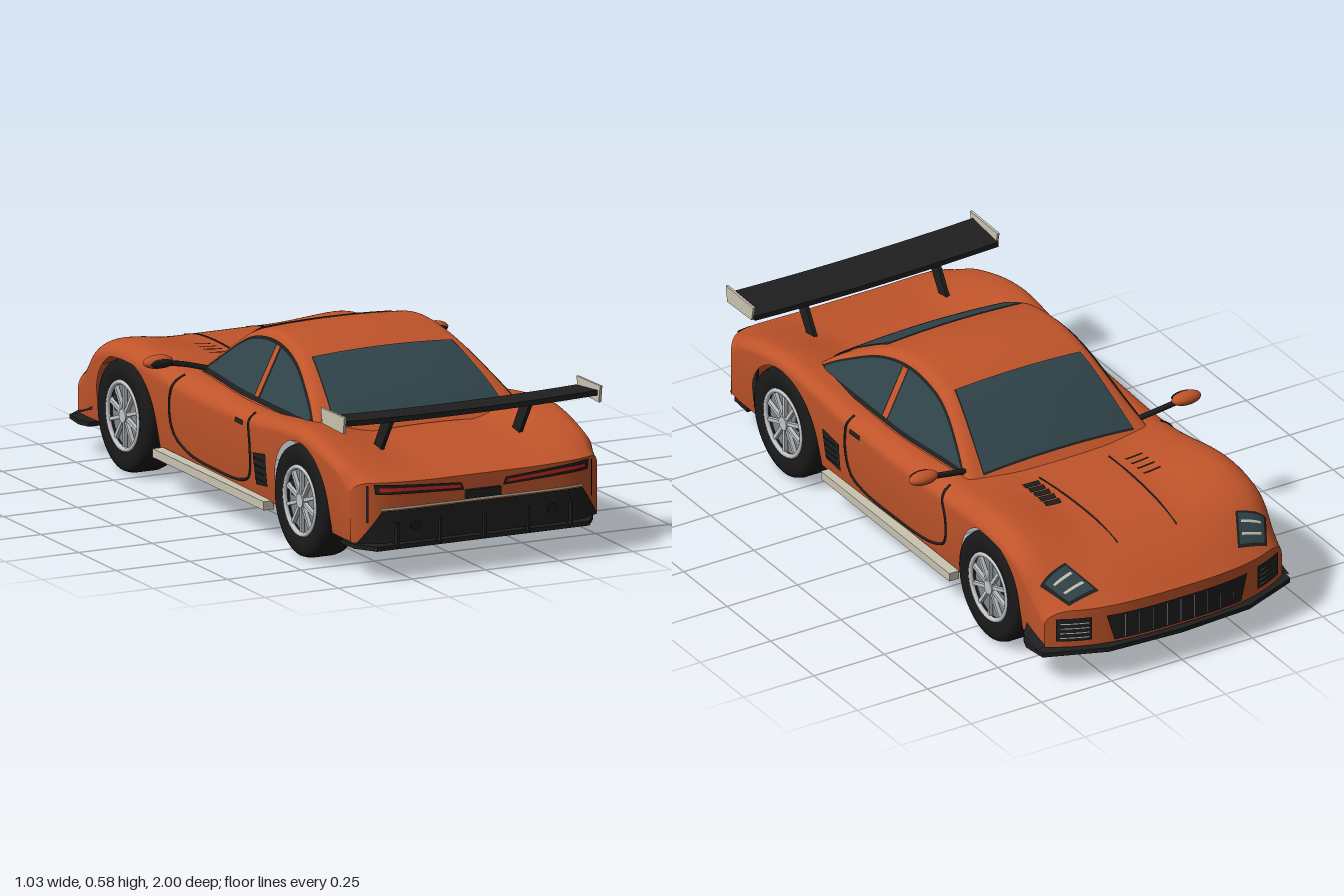
import * as THREE from 'three';

const mat = (name, color) => Object.assign(new THREE.MeshStandardMaterial({ color, side: THREE.DoubleSide }), { name });
const paint = mat('orange paint', 0xc0542a), dark = mat('black trim', 0x1f1f1f), rubber = mat('tyre rubber', 0x191919);
const glass = mat('tinted glass', 0x30444a), cream = mat('cream trim', 0xcac3b0), red = mat('red lamp', 0xcc2a20);
const silver = mat('silver rim', 0xc2c6c9), grey = mat('brake grey', 0x82868a);
const { lerp, smoothstep: smooth } = THREE.MathUtils;

// Smooth one-dimensional curve through [z, value] pairs
const curve = pts => {
  const spline = new THREE.CubicInterpolant(pts.map(p => p[0]), pts.map(p => p[1]), 1, [0]);
  return z => spline.evaluate(z)[0];
};
// Body curves along z (nose at -z, tail at +z)
const NOSE = -.985, TAIL = .978, WHEELS = [-.578, .603];
const width = curve([[-.985, .422], [-.8, .432], [-.6, .432], [-.3, .412], [0, .418], [.3, .425], [.6, .435], [.85, .43], [.985, .418]]);
const fender = curve([[-.985, .24], [-.9, .295], [-.8, .348], [-.7, .385], [-.6, .4], [-.5, .397], [-.4, .384], [-.3, .374],
  [0, .37], [.3, .374], [.45, .39], [.6, .402], [.7, .39], [.8, .365], [.9, .332], [.985, .3]]);
const middle = curve([[-.985, .243], [-.9, .297], [-.8, .342], [-.7, .365], [-.5, .375], [-.3, .366], [.3, .36], [.6, .36], [.8, .34], [.985, .296]]);
const roof = curve([[-.33, .355], [-.27, .402], [-.2, .455], [-.1, .525], [-.05, .551], [0, .567], [.1, .58], [.2, .572], [.3, .545], [.4, .497], [.5, .438], [.59, .365]]);
const corner = z => lerp(.075, .045, smooth(z, -.1, .5)), drop = z => lerp(.05, .034, smooth(z, -.1, .5));
const bow = (x, z) => .1 * smooth(-z, .72, .985) * Math.abs(x / .43) ** 3 - .075 * smooth(z, .84, .985) * Math.abs(x / .43) ** 9;

function lowerEdge(z) {
  const d = Math.min(...WHEELS.map(c => Math.abs(z - c))) / .185;
  return d < 1 ? Math.min(.175 + .185 * Math.sqrt(1 - d * d), fender(z) - drop(z)) : .115;
}
function topY(x, z) {
  const ax = Math.abs(x), c = corner(z), d = drop(z), a = width(z) - c;
  if (ax <= a) return lerp(middle(z), fender(z), smooth(ax / a, .4, 1));
  return fender(z) - d + d * Math.sqrt(Math.max(0, 1 - ((ax - a) / c) ** 2));
}
function sideX(y, z) {
  const c = corner(z), d = drop(z), k = y - fender(z) + d;
  if (k < 0) return width(z) - .025 * (k / .25) ** 2;
  return width(z) - c + c * Math.sqrt(Math.max(0, 1 - (k / d) ** 2));
}
function surfaceY(x, z) {
  let zz = z;
  for (let i = 0; i < 8; i++) zz = z - bow(x, zz);
  return topY(x, zz);
}
// Grid surface from a rule f(u, v) -> [x, y, z]
function grid(nu, nv, f) {
  const p = [], idx = [];
  for (let j = 0; j <= nv; j++) for (let i = 0; i <= nu; i++) {
    p.push(...f(i / nu, j / nv));
    const a = j * (nu + 1) + i, c = a + nu + 1;
    if (i < nu && j < nv) idx.push(a, a + 1, c, a + 1, c + 1, c);
  }
  const g = new THREE.BufferGeometry().setIndex(idx);
  g.setAttribute('position', new THREE.Float32BufferAttribute(p, 3));
  g.computeVertexNormals();
  return g;
}

export function createModel() {
  const car = new THREE.Group();
  car.name = 'sportsCar';
  const add = (name, geo, m, parent = car) => {
    const o = Object.assign(new THREE.Mesh(geo, m), { name });
    parent.add(o);
    return o;
  };
  const box = (name, m, w, h, d, x, y, z, parent) => add(name, new THREE.BoxGeometry(w, h, d).translate(x, y, z), m, parent);
  const path = pts => new THREE.CatmullRomCurve3(pts.map(p => new THREE.Vector3(...p)));
  const tube = (name, pts, r) => add(name, new THREE.TubeGeometry(path(pts), 96, r, 6), dark);
  const outline = pts => new THREE.Shape(pts.map(p => new THREE.Vector2(...p)));
  const slab = (pts, depth) => new THREE.ExtrudeGeometry(outline(pts), { depth, bevelEnabled: false });
  // Thin plates laid on a face; q holds four corners in the plane of that face
  const quad = (q, u, v) => [0, 1].map(k => lerp(lerp(q[0][k], q[1][k], u), lerp(q[3][k], q[2][k], u), v));
  const plate = (name, m, q, place) => add(name, grid(12, 10, (u, v) => place(...quad(q, u, v))), m);
  const rect = (a0, b0, a1, b1) => [[a0, b0], [a1, b0], [a1, b1], [a0, b1]];
  const onTop = (s, off) => (x, z) => [s * x, surfaceY(x, z) + off, z];
  const onSide = (s, off) => (z, y) => [s * (sideX(y, z) + off), y, z + bow(sideX(y, z), z)];
  const onNose = (s, off) => (x, y) => [s * x, y, NOSE + bow(x, NOSE) - off];
  const onTail = (s, off) => (x, y) => [s * x, y, TAIL + bow(x, TAIL) + off];

  // Hollow body shell with wheel arches
  const bodyHalf = (t, z) => {
    const y1 = fender(z) - drop(z), a = width(z) - corner(z), g = (t - .3) / .25 * Math.PI / 2, x = a * (1 - (t - .55) / .45);
    if (t >= .55) return [x, topY(x, z)];
    if (t >= .3) return [a + corner(z) * Math.cos(g), y1 + drop(z) * Math.sin(g)];
    const y = lerp(lowerEdge(z), y1, t / .3);
    return [sideX(y, z), y];
  };
  const section = (half, u, z) => {
    const [x, y] = half(1 - Math.abs(1 - 2 * u), z);
    return [u <= .5 ? x : -x, y, z];
  };
  const shell = (u, z) => {
    const [x, y] = section(bodyHalf, u, z);
    return [x, y, z + bow(x, z)];
  };
  add('bodyShell', grid(80, 240, (u, v) => shell(u, lerp(NOSE, TAIL, v))), paint);
  for (const [name, z] of [['nosePanel', NOSE], ['tailPanel', TAIL]]) add(name, grid(80, 4, (u, v) => {
    const p = shell(u, z);
    return [p[0], lerp(p[1], .115, z < 0 ? 1 - v : v), p[2]];
  }), paint);

  // Cabin, its sides drawn in toward the windscreen
  const cabinX = (y, z) => .345 - (y - .38) * .5 - .03 * smooth(-z, -.1, .28);
  const cabinY = (x, z) => roof(z) - .01 * (x / .25) ** 2;
  const cabinHalf = (t, z) => {
    const yt = Math.max(roof(z) - .03, .33), xs = cabinX(yt, z), xe = xs - .045, ye = cabinY(xe, z);
    const y = lerp(.32, yt, t / .3), x = xe * (1 - (t - .55) / .45), k = (t - .3) / .25, i = 1 - k;
    if (t < .3) return [cabinX(y, z), y];
    if (t >= .55) return [x, cabinY(x, z)];
    return [i * i * xs + 2 * i * k * (xs - .01) + k * k * xe, i * i * yt + 2 * i * k * (ye - .001) + k * k * ye];
  };
  add('cabin', grid(80, 80, (u, v) => section(cabinHalf, u, lerp(-.33, .59, v))), paint);
  const screen = (name, m, z0, w0, z1, w1, off) => add(name, grid(16, 20, (u, v) => {
    const z = lerp(z0, z1, v), x = lerp(w0, w1, v) * (1 - 2 * u);
    return [x, cabinY(x, z) + off, z];
  }), m);
  screen('windscreenSeal', dark, -.291, .268, -.05, .224, .003);
  screen('windscreen', glass, -.287, .264, -.053, .22, .006);
  screen('rearScreenSeal', dark, .307, .238, .555, .289, .003);
  screen('rearScreen', glass, .311, .235, .551, .285, .006);

  for (const s of [1, -1]) {
    // Side windows with pillar
    const pane = (name, m, z0, z1, y0, gap, off) => add(name, grid(30, 6, (u, v) => {
      const z = lerp(z0, z1, u), y = lerp(y0, Math.max(y0, Math.min(roof(z) - gap, .583 - gap)), v);
      return [s * (cabinX(y, z) + off), y, z];
    }), m);
    pane('windowSeal', dark, -.255, .53, .375, .03, .003);
    pane('frontSideWindow', glass, -.235, .135, .39, .037, .006);
    pane('rearSideWindow', glass, .17, .5, .39, .037, .006);
    pane('doorPillar', paint, .139, .166, .39, .037, .007);
    // Door, handle, side vent, sill
    const door = path([[.245, .366, 0], [.257, .25, 0], [.235, .17, 0], [.17, .142, 0], [0, .133, 0], [-.2, .143, 0], [-.285, .185, 0], [-.303, .27, 0], [-.27, .366, 0]]);
    tube('doorSeam', door.getPoints(60).map(p => onSide(s, 0)(p.x, p.y)), .0045);
    plate('doorHandle', dark, rect(.165, .325, .222, .34), onSide(s, .006));
    plate('sideVent', dark, [[.29, .155], [.37, .165], [.375, .27], [.285, .255]], onSide(s, .005));
    for (let i = 0; i < 4; i++) plate('ventSlat', rubber, rect(.295, .175 + i * .022, .365, .18 + i * .022), onSide(s, .009));
    box('sideSkirt', cream, .035, .027, .74, s * .418, .108, .005);
    // Headlamp with light strips
    const lamp = [[.247, -.922], [.352, -.919], [.402, -.832], [.303, -.816]];
    const shrink = k => lamp.map(([x, z]) => [.326 + (x - .326) * k, -.872 + (z + .872) * k]);
    plate('headlampFrame', dark, lamp, onTop(s, .004));
    plate('headlampGlass', glass, shrink(.84), onTop(s, .007));
    for (const k of [.25, .68]) {
      const at = (u, v) => quad(shrink(.8), u, v);
      plate('lightStrip', cream, [at(.08, k), at(.9, k), at(.9, k + .09), at(.08, k + .09)], onTop(s, .0095));
    }
    // Bonnet crease, corner intake and blade, tail lamp
    tube('bonnetCrease', [-.8, -.7, -.6, -.5, -.38].map(z => onTop(s, 0)(.105 + (z + .8) * .045, z)), .003);
    plate('cornerIntake', dark, rect(.295, .137, .395, .215), onNose(s, .005));
    for (let i = 0; i < 4; i++) plate('intakeSlat', silver, rect(.303, .148 + i * .016, .386, .151 + i * .016), onNose(s, .008));
    add('cornerBlade', grid(12, 2, (u, v) => onSide(s, v * .028 * Math.min(1, u * 3))(lerp(-.82, NOSE, u), lerp(.158, .122, u) - v * .01)), dark);
    plate('tailLampFrame', dark, [[.065, .255], [.36, .268], [.365, .3], [.075, .279]], onTail(s, .009));
    plate('tailLamp', red, [[.075, .262], [.35, .277], [.35, .289], [.08, .273]], onTail(s, .013));
    plate('tailCornerSlot', dark, rect(.378, .18, .384, .295), onTail(s, .005));
    add('tailpipe', new THREE.CylinderGeometry(.016, .016, .02, 20).rotateX(Math.PI / 2).translate(s * .232, .165, .983), rubber);
    // Door mirror
    tube('mirrorArm', [[s * .31, .385, -.25], [s * .38, .402, -.262], [s * .44, .412, -.265]], .009);
    add('mirrorHousing', new THREE.SphereGeometry(1, 24, 16).scale(.05, .021, .027).translate(s * .467, .418, -.268), paint);
    add('mirrorGlass', new THREE.SphereGeometry(1, 20, 12).scale(.037, .014, .006).translate(s * .465, .417, -.243), dark);
    // Wing supports and end plates
    const strut = slab([[-.765, .34], [-.715, .34], [-.79, .46], [-.845, .46]], .012);
    add('wingSupport', strut.rotateY(Math.PI / 2).translate(s * .235 - .006, 0, 0), dark);
    const end = slab([[-.91, .453], [-.77, .456], [-.76, .503], [-.918, .506]], .008);
    add('wingEndPlate', end.rotateY(Math.PI / 2).translate(s * .434 - .004, 0, 0), cream);
    // Wheels
    for (const z of WHEELS) {
      const wheel = new THREE.Group();
      wheel.name = z < 0 ? 'frontWheel' : 'rearWheel';
      wheel.position.set(s * .375, .175, z);
      wheel.rotation.z = -s * Math.PI / 2;
      car.add(wheel);
      const tyre = [[.106, -.052], [.13, -.06], [.155, -.06], [.17, -.052], [.175, -.035], [.175, .035], [.17, .052], [.155, .06], [.13, .06], [.106, .052]];
      add('tyre', new THREE.LatheGeometry(tyre.map(p => new THREE.Vector2(...p)), 48), rubber, wheel);
      add('brakeDisc', new THREE.CylinderGeometry(.105, .105, .07, 40), grey, wheel);
      add('hub', new THREE.CylinderGeometry(.022, .022, .112, 20), silver, wheel);
      box('brakeCaliper', dark, .05, .008, .03, -s * .025, .037, -.065, wheel);
      for (const f of [1, -1]) {
        add('rimRing', new THREE.TorusGeometry(.104, .008, 8, 48).rotateX(Math.PI / 2).translate(0, f * .051, 0), silver, wheel);
        for (let i = 0; i < 10; i++) box('spoke', silver, .085, .012, .011, .062, f * .046, 0, wheel).rotation.y = i * Math.PI / 5;
      }
    }
  }
  // Bonnet vents: open louvres on one side, slim slots on the other
  for (let i = 0; i < 5; i++) {
    const z = -.56 + i * .033, x = .148 - i * .002;
    plate('bonnetLouvre', dark, [[x + .008, z], [x + .065, z - .004], [x + .06, z + .025], [x, z + .029]], onTop(1, .005));
    if (i < 4) plate('bonnetSlot', dark, rect(.15, -.54 + i * .035, .21, -.532 + i * .035), onTop(-1, .004));
  }
  // Grille and front splitter
  plate('grille', dark, [[-.225, .125], [.225, .125], [.25, .212], [-.25, .212]], onNose(1, .005));
  for (let i = -4; i <= 4; i++) plate('grilleBar', grey, rect(i * .048 - .0015, .13, i * .048 + .0015, .207), onNose(1, .008));
  const lip = [[-.435, -.79], [-.45, -.83], [-.44, -.91], [-.25, -.985], [0, -1], [.25, -.985], [.44, -.91], [.45, -.83], [.435, -.79]];
  add('frontSplitter', slab(lip, .014).rotateX(Math.PI / 2).translate(0, .108, 0), dark);
  // Rear bumper, diffuser and plate
  plate('diffuserPanel', dark, [[-.41, .115], [.41, .115], [.34, .215], [-.34, .215]], onTail(1, .008));
  plate('bumperStrip', cream, rect(-.345, .217, .345, .225), onTail(1, .008));
  box('numberPlate', dark, .118, .027, .012, 0, .239, .984);
  const tray = [[-.41, .84], [.41, .84], [.405, .92], [.36, .985], [-.36, .985], [-.405, .92]];
  add('rearSplitter', slab(tray, .014).rotateX(Math.PI / 2).translate(0, .108, 0), dark);
  for (const x of [-.295, -.15, 0, .15, .295]) box('diffuserFin', dark, .006, .075, .034, x, .14, .981);
  // Bowed wing blade
  const blade = new THREE.BoxGeometry(.866, .016, .145, 24, 1, 6), bp = blade.attributes.position;
  for (let i = 0; i < bp.count; i++) {
    const x = bp.getX(i), z = bp.getZ(i);
    bp.setXYZ(i, x, bp.getY(i) + .466 + .008 * (x / .43) ** 2 + z * .1, z + .83);
  }
  blade.computeVertexNormals();
  add('wingBlade', blade, dark);
  return car;
}
